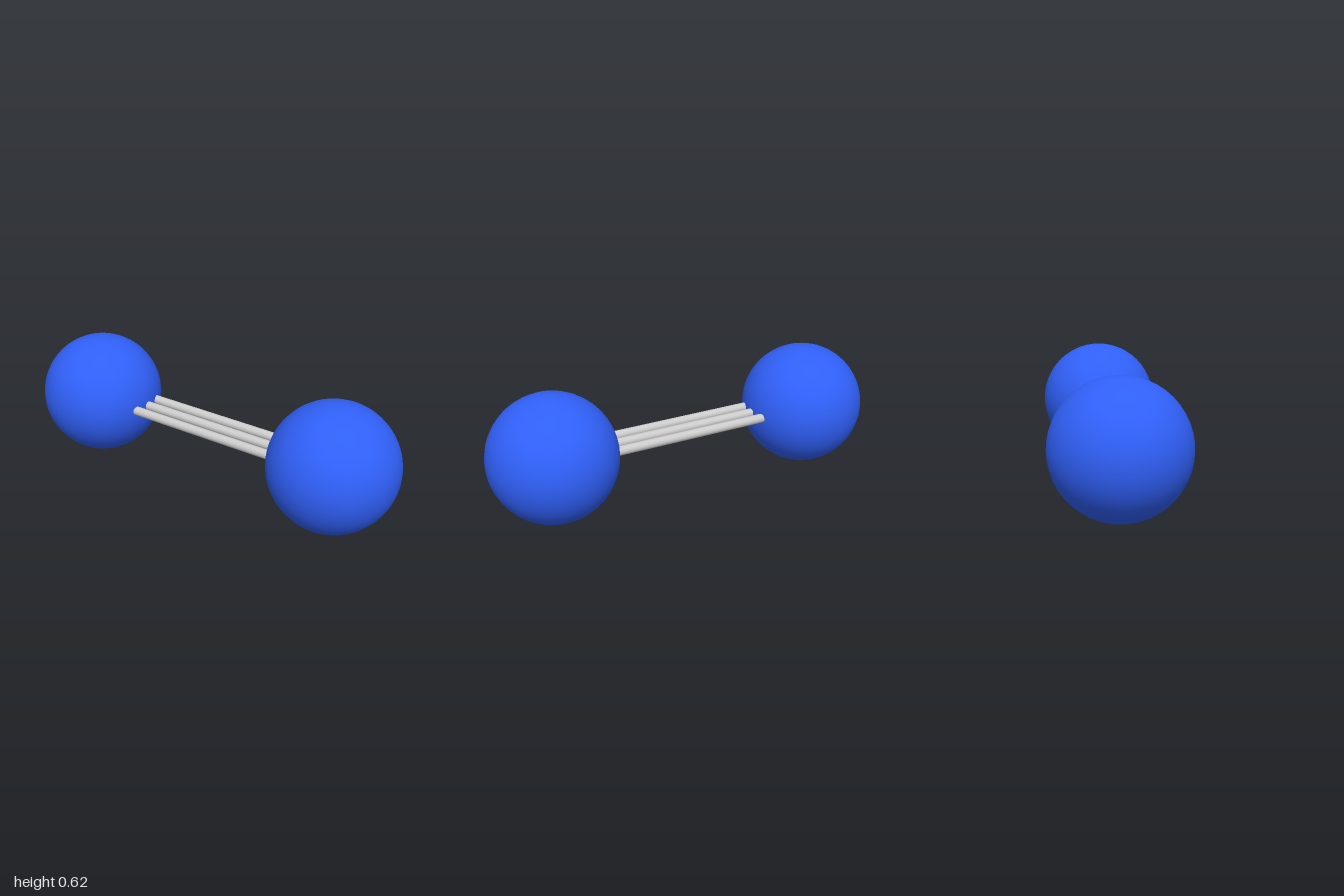
import * as THREE from 'three';

const BALL_RADIUS = 0.31;
const BALL_X = 0.69;
const ROD_RADIUS = 0.023;
const ROD_SPACING = 0.08;

export function createModel() {
  const model = new THREE.Group();
  model.name = 'triplyBondedMolecule';

  const blue = new THREE.MeshStandardMaterial({ color: 0x3060f8 });
  const grey = new THREE.MeshStandardMaterial({ color: 0xcccccc });

  // Two atoms, mirrored across x = 0
  const ballGeometry = new THREE.SphereGeometry(BALL_RADIUS, 48, 24);
  for (const side of [-1, 1]) {
    const atom = new THREE.Mesh(ballGeometry, blue);
    atom.name = side > 0 ? 'leftAtom' : 'rightAtom';
    atom.position.set(side * BALL_X, BALL_RADIUS, 0);
    model.add(atom);
  }

  // Three parallel rods, side by side in z, running into both atoms
  const rodGeometry = new THREE.CylinderGeometry(ROD_RADIUS, ROD_RADIUS, 2 * BALL_X, 24);
  rodGeometry.rotateZ(Math.PI / 2);
  ['backBond', 'middleBond', 'frontBond'].forEach((name, i) => {
    const bond = new THREE.Mesh(rodGeometry, grey);
    bond.name = name;
    bond.position.set(0, BALL_RADIUS, (i - 1) * ROD_SPACING);
    model.add(bond);
  });

  return model;
}
